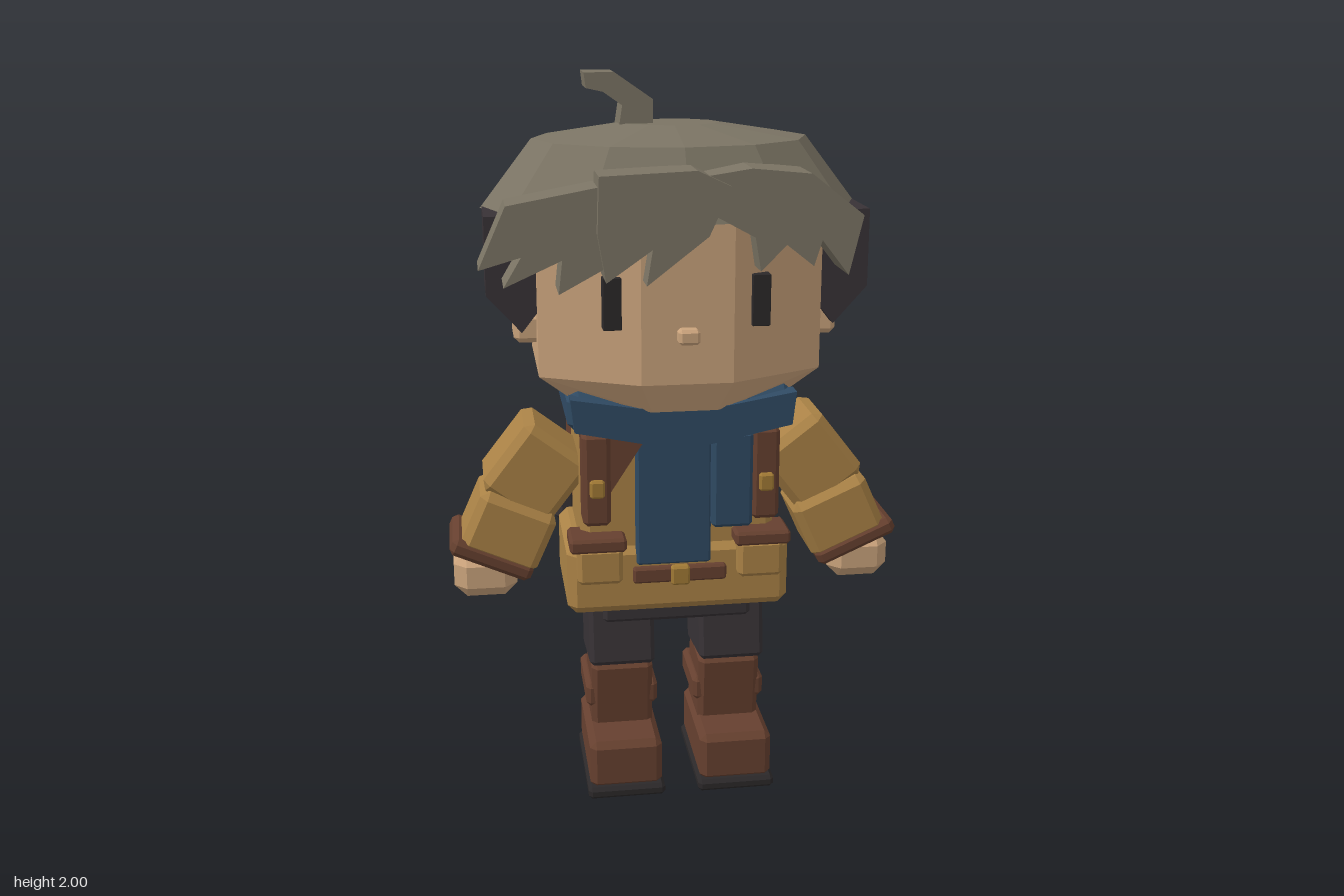
import * as THREE from 'three';
import { ConvexGeometry } from 'three/addons/geometries/ConvexGeometry.js';

const mat = (name, color) => {
  const m = new THREE.MeshStandardMaterial({ color });
  m.name = name;
  return m;
};
const M = {
  hair: mat('ash hair', 0x7b7464),
  dark: mat('dark undercut', 0x383236),
  skin: mat('skin', 0xcaa37c),
  blue: mat('scarf blue', 0x2f4a63),
  coat: mat('mustard coat', 0xaa8246),
  brown: mat('brown leather', 0x66402f),
  cloth: mat('trouser charcoal', 0x373235),
  sole: mat('sole black', 0x2b2829),
  brass: mat('brass', 0xa17a35),
};

// Box with every edge chamfered
function bevelBox(w, h, d, b = 0.02) {
  const pts = [];
  for (const x of [-1, 1]) for (const y of [-1, 1]) for (const z of [-1, 1]) {
    const X = x * w / 2, Y = y * h / 2, Z = z * d / 2;
    pts.push(new THREE.Vector3(X, Y - y * b, Z - z * b),
      new THREE.Vector3(X - x * b, Y, Z - z * b),
      new THREE.Vector3(X - x * b, Y - y * b, Z));
  }
  return new ConvexGeometry(pts);
}

// Flat front outline extruded from z0 to z1
function plate(points, z0, z1) {
  const shape = new THREE.Shape(points.map(([x, y]) => new THREE.Vector2(x, y)));
  return new THREE.ExtrudeGeometry(shape, { depth: z1 - z0, bevelEnabled: false }).translate(0, 0, z0);
}

// Faceted oval shell around the head
function shell(profile, segments, start, sweep) {
  const pts = profile.map(([r, y]) => new THREE.Vector2(r, y));
  return new THREE.LatheGeometry(pts, segments, start, sweep).scale(1, 1, 0.735).translate(0, 0, 0.04);
}

export function createModel() {
  const root = new THREE.Group();
  root.name = 'traveller';

  const add = (name, geometry, material, pos = [0, 0, 0], rot = [0, 0, 0]) => {
    const g = geometry.index ? geometry.toNonIndexed() : geometry;
    g.computeVertexNormals();
    const mesh = new THREE.Mesh(g, material);
    mesh.name = name;
    mesh.position.set(...pos);
    mesh.rotation.set(...rot);
    root.add(mesh);
    return mesh;
  };
  // Chamfered box given by its limits on each axis
  const block = (name, material, [x0, x1], [y0, y1], [z0, z1], b = 0.012) =>
    add(name, bevelBox(x1 - x0, y1 - y0, z1 - z0, b), material,
      [(x0 + x1) / 2, (y0 + y1) / 2, (z0 + z1) / 2]);
  const span = (s, a, b) => (s > 0 ? [a, b] : [-b, -a]);

  // Head: octagonal section, narrowed at the chin
  const outline = [[0.12, 0.375], [0.375, 0.25], [0.375, -0.1], [0.22, -0.18]];
  const headPts = [];
  for (const [y, kx, kz] of [[1.15, 0.72, 0.88], [1.235, 1, 1], [1.66, 1, 1]])
    for (const [x, z] of outline) for (const s of [-1, 1])
      headPts.push(new THREE.Vector3(s * x * kx, y, z * kz));
  add('head', new ConvexGeometry(headPts), M.skin);
  block('nose', M.skin, [-0.028, 0.028], [1.345, 1.385], [0.36, 0.41], 0.008);

  // Hair: crown, shaved back, fringe and sprout
  add('hairCrown', shell([[0, 1.65], [0.51, 1.65], [0.37, 1.83], [0.13, 1.868], [0, 1.868]], 12, 0, Math.PI * 2), M.hair);
  add('backHair', shell([[0, 1.33], [0.43, 1.33], [0.51, 1.65], [0, 1.65]], 6, Math.PI / 2, Math.PI), M.dark);
  add('fringeRight', plate([[-0.455, 1.71], [-0.525, 1.555], [-0.42, 1.585], [-0.465, 1.51],
    [-0.32, 1.575], [-0.33, 1.49], [-0.2, 1.56], [-0.18, 1.76]], 0.3, 0.43), M.hair);
  add('fringeMiddle', plate([[-0.23, 1.78], [-0.235, 1.64], [-0.215, 1.52], [-0.1, 1.6], [-0.115, 1.51],
    [0.04, 1.63], [0.095, 1.75], [0.01, 1.79]], 0.325, 0.455), M.hair);
  add('fringeLeft', plate([[0.015, 1.77], [0.05, 1.68], [0.16, 1.62], [0.175, 1.535], [0.24, 1.6], [0.31, 1.545],
    [0.33, 1.61], [0.4, 1.52], [0.435, 1.67], [0.3, 1.775], [0.15, 1.79]], 0.285, 0.43), M.hair);
  add('sprout', plate([[-0.23, 2], [-0.225, 1.96], [-0.18, 1.95], [-0.13, 1.915], [-0.14, 1.85],
    [-0.048, 1.85], [-0.048, 1.93], [-0.15, 2]], -0.045, 0.07), M.hair);

  // Scarf
  block('scarfRing', M.blue, [-0.305, 0.305], [1.08, 1.2], [-0.155, 0.3], 0.03);
  add('scarfDrape', plate([[-0.3, 1.19], [-0.29, 1.1], [0, 1.04], [0.29, 1.1], [0.3, 1.19],
    [0.12, 1.16], [-0.12, 1.16]], 0.27, 0.325), M.blue);
  block('scarfTail', M.blue, [-0.12, 0.085], [0.69, 1.07], [0.19, 0.255], 0.006);
  block('scarfEnd', M.blue, [0.083, 0.195], [0.8, 1.07], [0.19, 0.285], 0.01);

  // Coat and belt
  block('coatBody', M.coat, [-0.27, 0.27], [0.68, 1.1], [-0.11, 0.215], 0.025);
  block('coatSkirt', M.coat, [-0.31, 0.31], [0.54, 0.74], [-0.13, 0.235], 0.025);
  block('belt', M.brown, [-0.13, 0.13], [0.635, 0.68], [0.22, 0.255], 0.006);
  block('beltBuckle', M.brass, [-0.026, 0.026], [0.63, 0.685], [0.24, 0.268], 0.006);
  add('coatLapel', plate([[-0.2, 1.08], [-0.19, 0.91], [-0.08, 1.08]], 0.2, 0.26), M.brown);

  // Hips
  block('hips', M.cloth, [-0.21, 0.21], [0.495, 0.57], [-0.05, 0.2]);

  for (const s of [-1, 1]) {
    const side = s > 0 ? 'left' : 'right';

    // Face and hair sides
    block(side + 'Eye', M.sole, span(s, 0.168, 0.216), [1.38, 1.515], [0.32, 0.365], 0.002);
    block(side + 'Ear', M.skin, span(s, 0.36, 0.435), [1.31, 1.39], [0.05, 0.185], 0.015);
    const flap = [[0.36, 1.655], [0.36, 1.42], [0.415, 1.35], [0.505, 1.45], [0.505, 1.655]];
    add(side + 'HairFlap', plate(flap.map(([x, y]) => [s * x, y]), 0.02, 0.23), M.dark);

    // Arm: upper sleeve, forearm, cuff and hand
    add(side + 'UpperSleeve', bevelBox(0.22, 0.23, 0.215, 0.022), M.coat, [s * 0.385, 0.93, 0.065], [0, 0, s * 0.66]);
    add(side + 'Forearm', bevelBox(0.225, 0.18, 0.215, 0.022), M.coat, [s * 0.465, 0.775, 0.085], [0, 0, s * 0.42]);
    add(side + 'Cuff', bevelBox(0.24, 0.05, 0.225, 0.014), M.brown, [s * 0.515, 0.7, 0.083], [0, 0, s * 0.42]);
    block(side + 'Hand', M.skin, span(s, 0.445, 0.62), [0.577, 0.71], [0, 0.17], 0.035);

    // Pack strap and hip pouch
    block(side + 'Strap', M.brown, span(s, 0.192, 0.268), [0.82, 1.08], [0.19, 0.285]);
    block(side + 'StrapTop', M.brown, span(s, 0.192, 0.268), [1.04, 1.07], [-0.18, 0.27], 0.008);
    block(side + 'StrapBuckle', M.brass, span(s, 0.21, 0.25), [0.905, 0.955], [0.27, 0.3], 0.006);
    block(side + 'HipPouch', M.coat, span(s, 0.16, 0.285), [0.645, 0.75], [0.2, 0.275]);
    block(side + 'PouchFlap', M.brown, span(s, 0.15, 0.305), [0.74, 0.78], [0.16, 0.28], 0.008);

    // Leg: trouser, boot shaft, strap, foot and sole
    add(side + 'Trouser', bevelBox(0.185, 0.2, 0.24, 0.012), M.cloth, [s * 0.157, 0.45, 0.075], [-0.15, 0, 0]);
    add(side + 'BootShaft', bevelBox(0.175, 0.23, 0.195, 0.015), M.brown, [s * 0.155, 0.255, 0.075], [0.1, 0, 0]);
    block(side + 'BootStrap', M.brown, span(s, 0.052, 0.258), [0.22, 0.29], [-0.055, 0.165]);
    block(side + 'BootFoot', M.brown, span(s, 0.055, 0.26), [0.025, 0.168], [-0.045, 0.292], 0.018);
    block(side + 'BootSole', M.sole, span(s, 0.048, 0.267), [0, 0.035], [-0.05, 0.305], 0.01);

    // Backpack side pocket
    block(side + 'PackPocket', M.cloth, span(s, 0.25, 0.316), [0.67, 0.905], [-0.325, -0.155], 0.02);
  }

  // Backpack
  block('backpack', M.brown, [-0.265, 0.265], [0.585, 1.09], [-0.39, -0.135], 0.025);
  block('packLid', M.brown, [-0.272, 0.272], [0.94, 1.125], [-0.425, -0.265], 0.025);
  block('packPocketTrim', M.cloth, [-0.165, 0.165], [0.63, 0.885], [-0.41, -0.38]);
  block('packPocket', M.brown, [-0.138, 0.138], [0.66, 0.86], [-0.438, -0.39]);
  block('packClasp', M.cloth, [-0.032, 0.032], [0.83, 1.03], [-0.447, -0.4], 0.008);
  block('packBuckle', M.brass, [-0.028, 0.028], [0.9, 0.945], [-0.458, -0.43], 0.006);

  return root;
}
